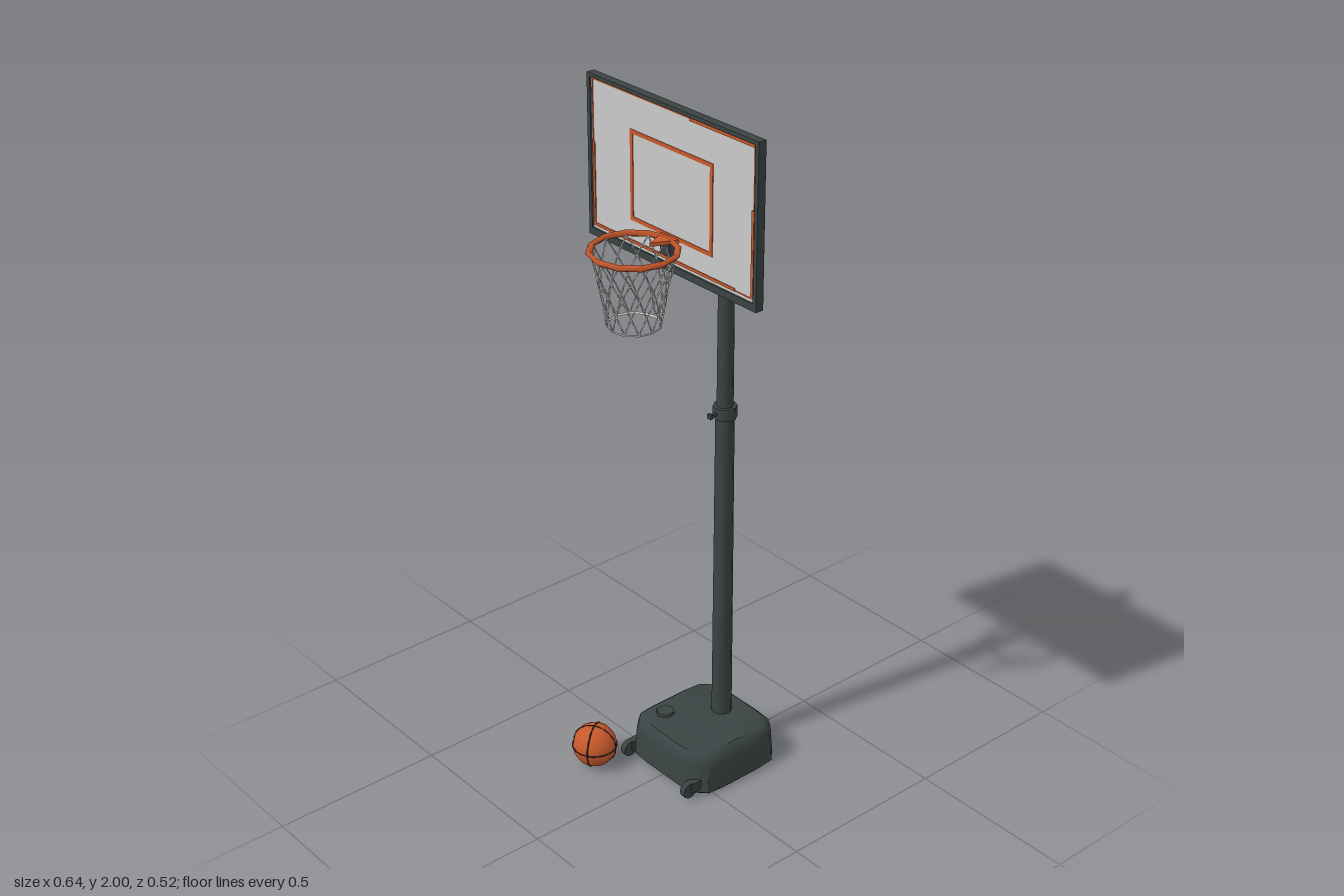
import * as THREE from 'three';
import { toCreasedNormals } from 'three/addons/utils/BufferGeometryUtils.js';

const mat = (name, color, side = THREE.FrontSide) => {
  const m = new THREE.MeshStandardMaterial({ color, side });
  m.name = name;
  return m;
};

export function createModel() {
  const root = new THREE.Group();
  const dark = mat('charcoal', 0x3a4343, THREE.DoubleSide);
  const black = mat('seam black', 0x222829);
  const orange = mat('orange', 0xc8592c);
  const grey = mat('panel grey', 0xcacaca);
  const white = mat('net white', 0xd8d8d8, THREE.DoubleSide);

  const add = (name, geo, material, x = 0, y = 0, z = 0, parent = root) => {
    const m = new THREE.Mesh(geo, material);
    m.name = name;
    m.position.set(x, y, z);
    parent.add(m);
    return m;
  };
  const box = (name, material, x0, x1, y0, y1, z0, z1, parent) =>
    add(name, new THREE.BoxGeometry(x1 - x0, y1 - y0, z1 - z0), material,
      (x0 + x1) / 2, (y0 + y1) / 2, (z0 + z1) / 2, parent);
  const post = (name, r0, r1, y0, y1, sides = 10) =>
    add(name, toCreasedNormals(new THREE.CylinderGeometry(r1, r0, y1 - y0, sides), 0.8), dark, 0, (y0 + y1) / 2, -0.17);
  // Rod between two points, wide in x
  const rod = (name, a, b, width, thick, material) => {
    const p = new THREE.Vector3(...a), q = new THREE.Vector3(...b);
    const m = add(name, new THREE.BoxGeometry(width, thick, p.distanceTo(q)), material);
    m.position.copy(p).add(q).multiplyScalar(0.5);
    m.lookAt(q);
    return m;
  };
  const group = (name) => {
    const g = new THREE.Group();
    g.name = name;
    root.add(g);
    return g;
  };

  // Weighted base: rounded-rectangle sections stacked upward
  const rings = [[0.005, 0.157, 0.152], [0.014, 0.165, 0.16], [0.09, 0.158, 0.157], [0.118, 0.152, 0.151], [0.13, 0.138, 0.138]];
  const N = 24, pos = [], idx = [];
  for (const [y, hx, hz] of rings)
    for (let i = 0; i < N; i++) {
      const a = ((i + 0.5) / N) * Math.PI * 2, c = Math.cos(a), s = Math.sin(a);
      const k = Math.pow(Math.abs(c) ** 6 + Math.abs(s) ** 6, -1 / 6);
      pos.push(hx * c * k, y, hz * s * k - 0.102);
    }
  for (let r = 0; r < rings.length - 1; r++)
    for (let i = 0; i < N; i++) {
      const a = r * N + i, b = r * N + (i + 1) % N;
      idx.push(a, a + N, b, b, a + N, b + N);
    }
  const top = (rings.length - 1) * N;
  for (let i = 1; i < N - 1; i++) idx.push(0, i, i + 1, top, top + i + 1, top + i);
  const baseGeo = new THREE.BufferGeometry();
  baseGeo.setAttribute('position', new THREE.Float32BufferAttribute(pos, 3));
  baseGeo.setIndex(idx);
  baseGeo.computeVertexNormals();
  add('base', toCreasedNormals(baseGeo, 0.7), dark);
  add('fillerCap', new THREE.CylinderGeometry(0.026, 0.028, 0.01, 6), dark, -0.09, 0.133, -0.035);

  // Transport wheels with their brackets
  for (const s of [-1, 1]) {
    const w = add('wheel', new THREE.CylinderGeometry(0.024, 0.024, 0.018, 10), dark, s * 0.13, 0.034, 0.068);
    w.rotation.z = Math.PI / 2;
    box('wheelBracket', dark, s * 0.13 - 0.012, s * 0.13 + 0.012, 0.025, 0.055, 0.03, 0.066);
  }

  // Telescoping pole
  post('lowerPole', 0.029, 0.026, 0.11, 1.09);
  post('upperPole', 0.023, 0.021, 1.08, 1.81);
  post('poleCollar', 0.033, 0.033, 1.08, 1.115);
  post('poleCap', 0.028, 0.029, 1.785, 1.826, 8);
  rod('collarPin', [0, 1.098, -0.15], [0, 1.098, -0.12], 0.008, 0.008, dark);
  rod('collarKnob', [0, 1.098, -0.121], [0, 1.098, -0.113], 0.014, 0.014, dark);

  // Backboard support arms and spring
  rod('upperArm', [0, 1.861, -0.002], [0, 1.797, -0.112], 0.02, 0.022, dark);
  rod('upperArmRoot', [0, 1.799, -0.11], [0, 1.785, -0.16], 0.022, 0.026, dark);
  rod('lowerArm', [0, 1.665, -0.002], [0, 1.632, -0.115], 0.02, 0.024, dark);
  rod('lowerArmRoot', [0, 1.632, -0.11], [0, 1.626, -0.16], 0.022, 0.02, dark);
  rod('armSpring', [0, 1.812, -0.075], [0, 1.685, -0.1], 0.007, 0.007, black);

  // Backboard panel and frame
  const board = group('backboard');
  box('panel', grey, -0.315, 0.315, 1.57, 1.992, 0.004, 0.018, board);
  box('frameTop', dark, -0.322, 0.322, 1.99, 2, -0.001, 0.023, board);
  box('frameBottom', dark, -0.322, 0.322, 1.56, 1.58, -0.001, 0.023, board);
  for (const s of [-1, 1])
    box('frameSide', dark, s * 0.316 - 0.006, s * 0.316 + 0.006, 1.56, 2, -0.001, 0.023, board);

  // Painted rectangles on both faces
  const outline = (name, hx, y0, y1, w, z) => {
    const rect = (C, x, b, t) => new C([[-x, b], [x, b], [x, t], [-x, t]].map((p) => new THREE.Vector2(...p)));
    const shape = rect(THREE.Shape, hx, y0, y1);
    shape.holes.push(rect(THREE.Path, hx - w, y0 + w, y1 - w));
    add(name, new THREE.ExtrudeGeometry(shape, { depth: 0.002, bevelEnabled: false }), orange, 0, 0, z, board);
  };
  for (const z of [0.0178, 0.0022]) {
    outline('targetSquare', 0.157, 1.65, 1.895, 0.011, z);
    outline('borderLine', 0.306, 1.588, 1.988, z > 0.01 ? 0.003 : 0.006, z);
  }
  box('borderAccent', orange, 0.07, 0.306, 1.98, 1.988, 0.018, 0.0203, board);
  box('borderAccent', orange, -0.306, 0.24, 1.588, 1.596, 0.018, 0.0203, board);
  for (const s of [-1, 1])
    box('borderAccent', orange, s * 0.302 - 0.004, s * 0.302 + 0.004, 1.59, 1.82, 0.018, 0.0203, board);

  // Rim, its wedge plate and mount
  const hz = 0.14;
  const rim = add('rim', new THREE.TorusGeometry(0.112, 0.009, 4, 12), orange, 0, 1.651, hz);
  rim.rotation.x = Math.PI / 2;
  const wedge = new THREE.Shape([[-0.032, -0.02], [0.032, -0.02], [0, -0.088]].map((p) => new THREE.Vector2(...p)));
  const plate = add('rimPlate', new THREE.ExtrudeGeometry(wedge, { depth: 0.01, bevelEnabled: false }), orange, 0, 1.646, 0);
  plate.rotation.x = -Math.PI / 2;
  box('rimMount', dark, -0.018, 0.018, 1.61, 1.646, 0.016, 0.04);

  // Net: two crossing sets of twisted cords and a hem ring
  const net = group('net');
  const profile = [[0, 0.106], [0.25, 0.097], [0.5, 0.086], [0.75, 0.077], [1, 0.07]];
  const cords = 12;
  for (let i = 0; i < cords; i++)
    for (const dir of [-1, 1]) {
      const pts = profile.map(([t, r]) => {
        const a = (i / cords) * Math.PI * 2 + dir * t * Math.PI / 3;
        return new THREE.Vector3(r * Math.cos(a), 1.648 - 0.198 * t, hz + r * Math.sin(a));
      });
      add('netCord', new THREE.TubeGeometry(new THREE.CatmullRomCurve3(pts), 8, 0.0022, 3), white, 0, 0, 0, net);
    }
  add('netHem', new THREE.CylinderGeometry(0.071, 0.069, 0.006, 12, 1, true), white, 0, 1.449, hz, net);

  // Ball with raised seams
  const ball = group('ball');
  ball.position.set(-0.167, 0.071, 0.164);
  add('ballBody', new THREE.SphereGeometry(0.064, 12, 8), orange, 0, 0, 0, ball);
  const seams = [[Math.PI / 2, 0], [0, 0.55], [0, 0.55 + Math.PI / 2]];
  for (const [rx, ry] of seams)
    add('ballSeam', new THREE.TorusGeometry(0.0632, 0.0022, 4, 24), black, 0, 0, 0, ball).rotation.set(rx, ry, 0);

  return root;
}
